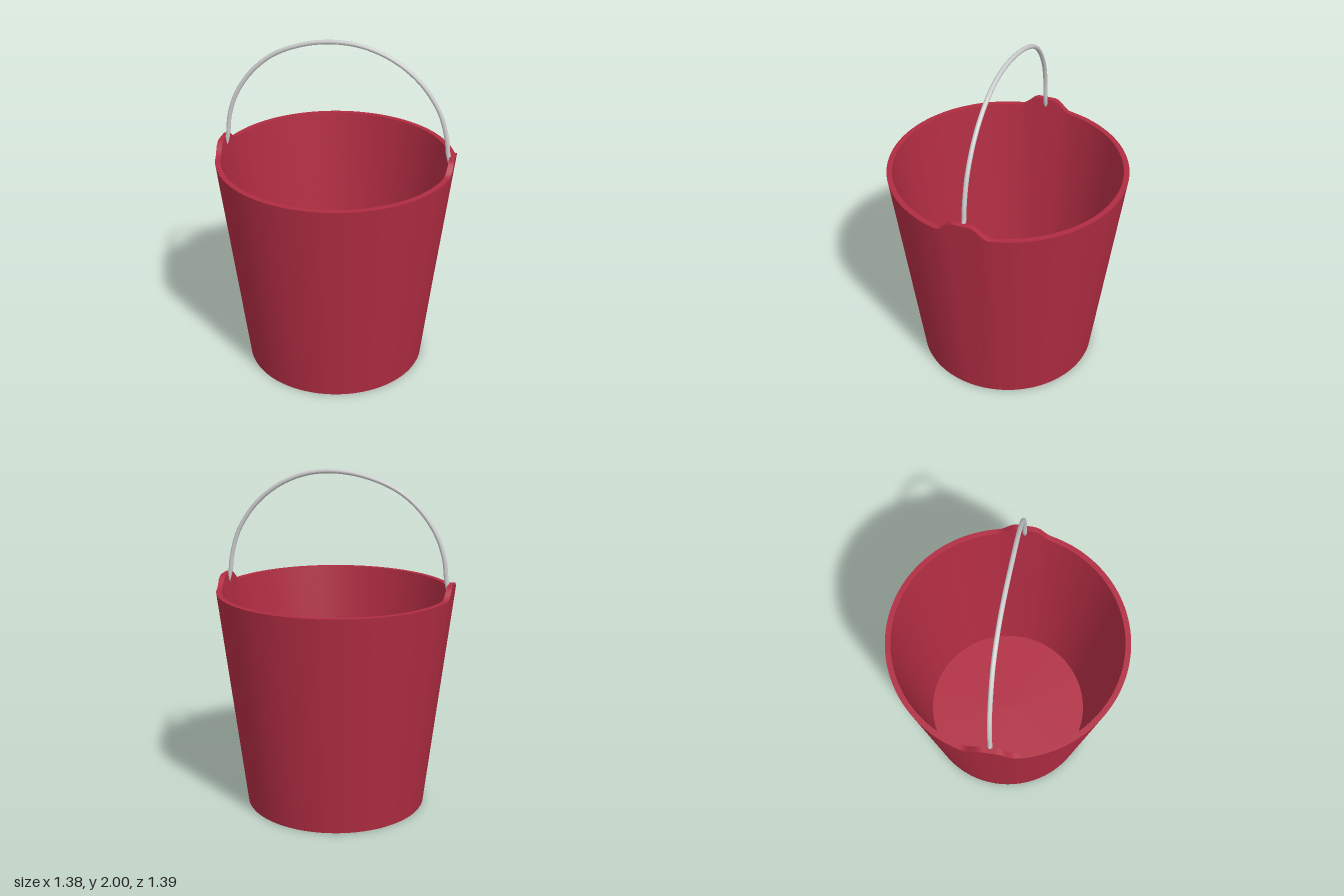
import * as THREE from 'three';
import { toCreasedNormals } from 'three/addons/utils/BufferGeometryUtils.js';

const RIM_Y = 1.3;
const EAR_HEIGHT = 0.066;
const EAR_X = 0.69; // the ears are flattened slightly on the outside

// Closed, tapered shell whose rim rises into an ear on each side
function bucketGeometry() {
  const profile = [
    [0, 0], [0.536, 0], [0.696, RIM_Y], [0.664, RIM_Y], [0.51, 0.04], [0, 0.04],
  ].map(([r, y]) => new THREE.Vector2(r, y));
  const geometry = new THREE.LatheGeometry(profile, 240);
  const pos = geometry.attributes.position;
  for (let i = 0; i < pos.count; i++) {
    const x = pos.getX(i), z = pos.getZ(i);
    if (pos.getY(i) < RIM_Y - 0.01) continue;
    const rise = 1 - THREE.MathUtils.smoothstep(Math.abs(z), 0.05, 0.155);
    pos.setY(i, RIM_Y + EAR_HEIGHT * rise);
    const limit = Math.hypot(x, z) > 0.68 ? EAR_X : 0.658;
    if (Math.abs(x) > limit) pos.setX(i, Math.sign(x) * limit);
  }
  return toCreasedNormals(geometry, 0.5);
}

// Slightly bent wire bail, hooked inside the ears
function handleCurve() {
  return new THREE.CatmullRomCurve3([
    [-0.667, 1.31, 0], [-0.648, 1.38, 0], [-0.632, 1.508, -0.003],
    [-0.585, 1.645, -0.008], [-0.49, 1.783, -0.014], [-0.362, 1.889, -0.019],
    [-0.177, 1.962, -0.018], [0.01, 1.987, -0.011], [0.177, 1.968, -0.004],
    [0.34, 1.9, -0.001], [0.484, 1.783, 0], [0.59, 1.624, 0],
    [0.637, 1.466, 0], [0.648, 1.38, 0], [0.667, 1.31, 0],
  ].map((p) => new THREE.Vector3(...p)));
}

export function createModel() {
  const group = new THREE.Group();
  group.name = 'bucket';
  const red = new THREE.MeshStandardMaterial({ color: 0xb02c42 });
  const grey = new THREE.MeshStandardMaterial({ color: 0xcccccc });

  const shell = new THREE.Mesh(bucketGeometry(), red);
  shell.name = 'bucketShell';
  group.add(shell);

  const curve = handleCurve();
  const handle = new THREE.Group();
  handle.name = 'handle';
  const wire = new THREE.Mesh(new THREE.TubeGeometry(curve, 120, 0.013, 12), grey);
  wire.name = 'handleWire';
  handle.add(wire);

  // Rounded wire ends
  for (const t of [0, 1]) {
    const end = new THREE.Mesh(new THREE.SphereGeometry(0.013, 12, 8), grey);
    end.name = t ? 'leftWireEnd' : 'rightWireEnd';
    end.position.copy(curve.getPoint(t));
    handle.add(end);
  }
  group.add(handle);
  return group;
}
